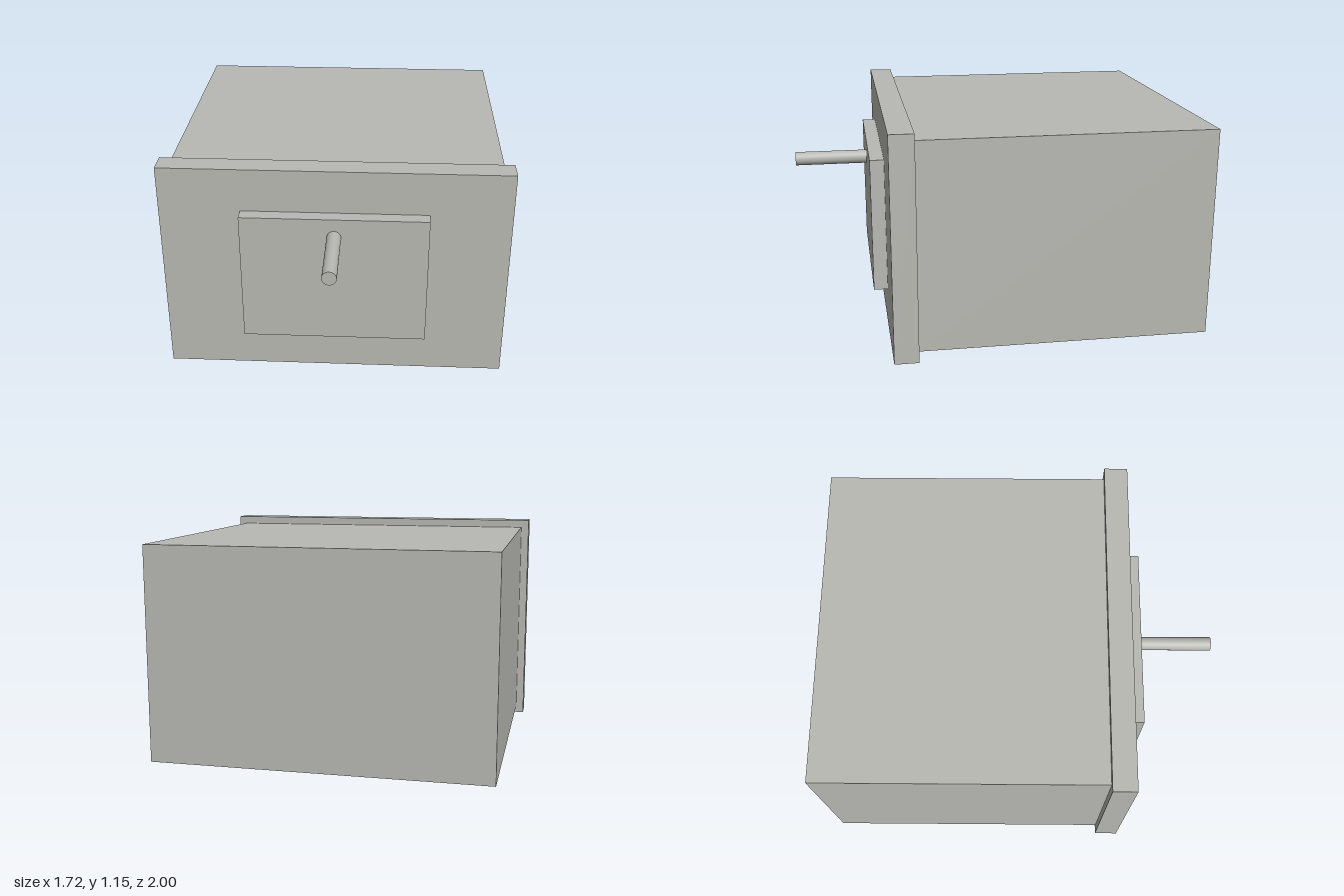
import * as THREE from 'three';

export function createModel() {
  const group = new THREE.Group();
  const grey = new THREE.MeshStandardMaterial({ color: 0xb8b8b3 });
  grey.name = 'light grey';

  const add = (name, geometry, x, y, z) => {
    const mesh = new THREE.Mesh(geometry, grey);
    mesh.name = name;
    mesh.position.set(x, y, z);
    group.add(mesh);
    return mesh;
  };

  // Box given by its width (centred on x) and its y and z ranges
  const block = (name, width, [y0, y1], [z0, z1], x = 0) =>
    add(name, new THREE.BoxGeometry(width, y1 - y0, z1 - z0), x, (y0 + y1) / 2, (z0 + z1) / 2);

  // Housing, wider front plate and raised panel
  block('housing', 1.64, [0.072, 1.112], [-1, 0.44]);
  block('frontPlate', 1.72, [0.032, 1.152], [0.44, 0.56]);
  block('frontPanel', 0.92, [0.255, 0.932], [0.56, 0.63]);

  // Rod sticking out of the panel
  const rod = new THREE.CylinderGeometry(0.035, 0.035, 0.37, 32).rotateX(Math.PI / 2);
  add('rod', rod, 0, 0.835, 0.815);

  // Pair of runners just below the housing
  for (const side of [1, -1]) {
    block(side > 0 ? 'leftRunner' : 'rightRunner', 0.04, [0, 0.062], [-0.44, -0.04], side * 0.4);
  }

  return group;
}
